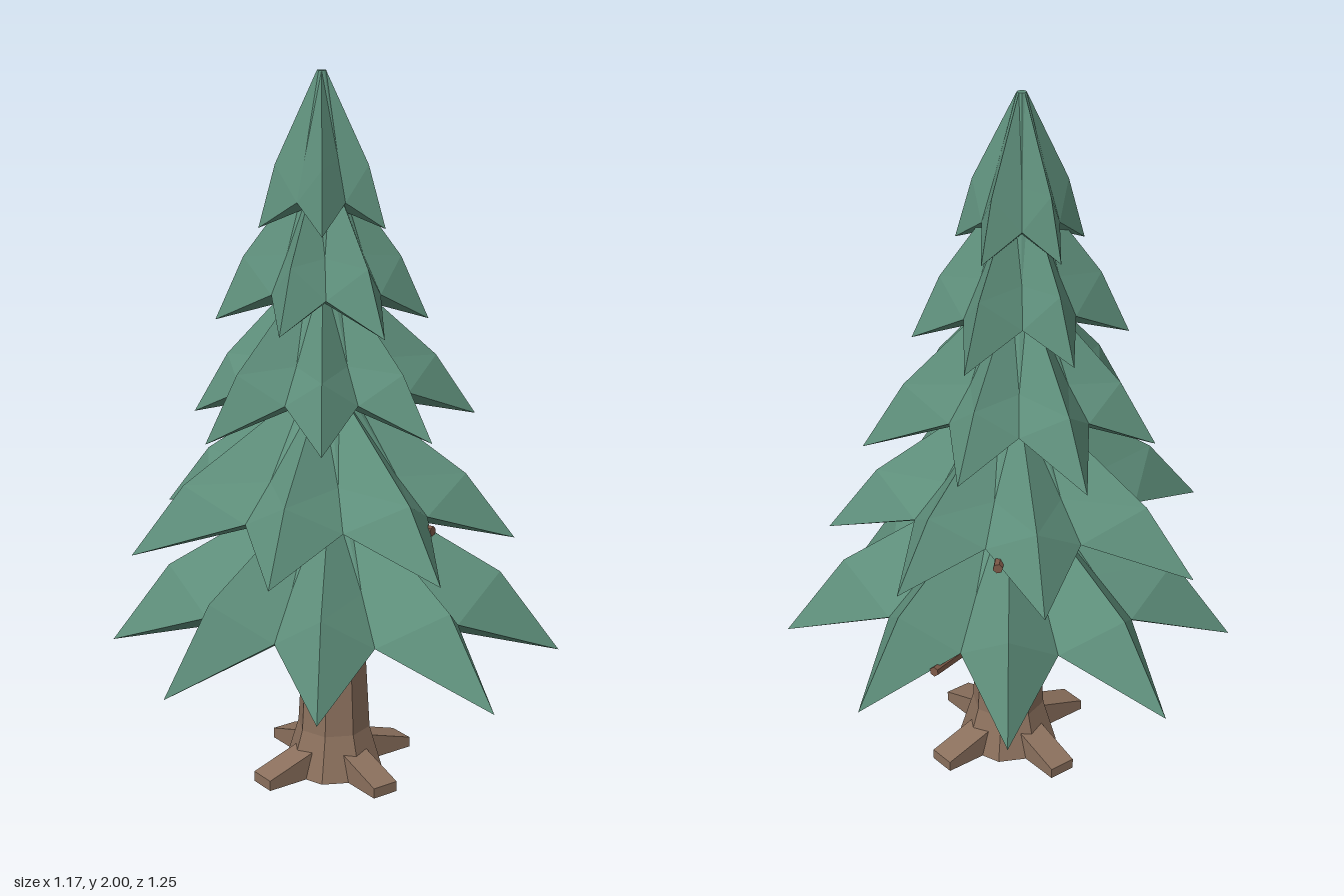
import * as THREE from 'three';

const mat = (name, color) => {
  const m = new THREE.MeshStandardMaterial({ color });
  m.name = name;
  return m;
};

// Skin a stack of equal-length rings (top to bottom), flat shaded
function skinRings(rings) {
  const pos = [];
  const tri = (a, b, c) => pos.push(...a, ...b, ...c);
  for (let k = 0; k < rings.length - 1; k++) {
    const a = rings[k], b = rings[k + 1], n = a.length;
    for (let i = 0; i < n; i++) {
      const j = (i + 1) % n;
      // alternate the diagonal so each bough is symmetric about its ridge
      if (i % 2 === 0) {
        tri(a[i], b[j], b[i]);
        tri(a[i], a[j], b[j]);
      } else {
        tri(a[i], a[j], b[i]);
        tri(a[j], b[j], b[i]);
      }
    }
  }
  const g = new THREE.BufferGeometry();
  g.setAttribute('position', new THREE.Float32BufferAttribute(pos, 3));
  g.computeVertexNormals();
  return g;
}

// Star-shaped layer of boughs: ridges run to the tips, valleys to the notches
function tierGeometry({ cz, tips, yTip, yNotch, yMid, yTop, topR }) {
  const dirs = [];
  tips.forEach(([x, z], i) => {
    const [x2, z2] = tips[(i + 1) % tips.length];
    const r = Math.hypot(x, z - cz), r2 = Math.hypot(x2, z2 - cz);
    const mx = x / r + x2 / r2, mz = (z - cz) / r + (z2 - cz) / r2;
    const m = Math.hypot(mx, mz), notch = 0.6 * (r + r2) / 2;
    dirs.push([x, z - cz], [mx / m * notch, mz / m * notch]);
  });
  const ring = (fRidge, fValley, yRidge, yValley) => dirs.map(([x, z], i) => {
    const f = i % 2 ? fValley : fRidge;
    return [x * f, i % 2 ? yValley : yRidge, cz + z * f];
  });
  const cap = dirs.map(([x, z]) => {
    const r = Math.hypot(x, z);
    return [x / r * topR, yTop, cz + z / r * topR];
  });
  return skinRings([
    ring(0, 0, yTop, yTop),
    cap,
    ring(0.735, 0.7, yMid, yMid + 0.015),
    ring(1, 1, yTip, yNotch),
    ring(0.4, 0.6, yNotch - 0.025, yNotch - 0.02),
    ring(0, 0, yNotch - 0.035, yNotch - 0.035),
  ]);
}

const TIERS = [
  { cz: -0.01, yTip: 0.37, yNotch: 0.5, yMid: 0.605, yTop: 0.86, topR: 0.06,
    tips: [[0.587, -0.08], [0.51, 0.39], [0.07, 0.627], [-0.353, 0.412],
      [-0.588, 0.033], [-0.48, -0.423], [-0.05, -0.625], [0.374, -0.468]] },
  { cz: -0.03, yTip: 0.71, yNotch: 0.81, yMid: 0.895, yTop: 1.14, topR: 0.06,
    tips: [[0.468, -0.11], [0.398, 0.315], [-0.02, 0.505], [-0.4, 0.262],
      [-0.548, -0.185], [-0.21, -0.543], [0.232, -0.447]] },
  { cz: -0.05, yTip: 1.035, yNotch: 1.13, yMid: 1.21, yTop: 1.46, topR: 0.05,
    tips: [[0.092, -0.445], [0.328, -0.2], [0.39, 0.142], [0.1, 0.312],
      [-0.215, 0.242], [-0.395, -0.04], [-0.24, -0.34]] },
  { cz: -0.05, yTip: 1.325, yNotch: 1.41, yMid: 1.5, yTop: 1.74, topR: 0.04,
    tips: [[0.02, -0.3], [0.272, -0.16], [0.237, 0.117], [-0.015, 0.25],
      [-0.225, 0.065], [-0.245, -0.215]] },
  { cz: -0.055, yTip: 1.585, yNotch: 1.66, yMid: 1.755, yTop: 2, topR: 0.013,
    tips: [[0.005, -0.225], [0.172, -0.105], [0.1, 0.1], [-0.11, 0.1],
      [-0.167, -0.115]] },
];

// Twig height at the trunk, then its end: x, y, z
const TWIGS = [
  [0.42, 0.39, 0.465, -0.165], [0.43, -0.11, 0.465, 0.28], [0.43, -0.22, 0.455, -0.14],
  [0.78, 0.25, 0.79, -0.27], [0.78, 0.1, 0.79, 0.32], [0.78, -0.31, 0.79, -0.07],
];

export function createModel() {
  const tree = new THREE.Group();
  tree.name = 'pineTree';
  const needles = mat('needleGreen', 0x5f907c);
  const bark = mat('barkBrown', 0x8b705d);
  const twigMat = mat('twigBrown', 0x7a5746);
  const add = (name, geo, material) => {
    const mesh = new THREE.Mesh(geo, material);
    mesh.name = name;
    tree.add(mesh);
    return mesh;
  };

  // Boughs
  TIERS.forEach((t, i) => add(`boughTier${i + 1}`, tierGeometry(t), needles));

  // Eight-sided trunk, flared at the foot
  const trunkRing = (r, y) => Array.from({ length: 8 }, (_, i) => {
    const a = (i + 0.1) * Math.PI / 4;
    return [0.008 + r * Math.cos(a), y, -0.01 + r * Math.sin(a)];
  });
  add('trunk', skinRings([
    trunkRing(0, 0.82), trunkRing(0.07, 0.82), trunkRing(0.088, 0.45),
    trunkRing(0.106, 0.13), trunkRing(0.145, 0), trunkRing(0, 0),
  ]), bark);

  // Four tapering roots
  for (let i = 0; i < 4; i++) {
    const g = new THREE.BoxGeometry(0.17, 0.07, 0.08).translate(0.165, 0.035, 0);
    const p = g.attributes.position;
    for (let k = 0; k < p.count; k++) {
      if (p.getY(k) > 0.01) p.setY(k, p.getX(k) < 0.16 ? 0.085 : 0.03);
    }
    const flat = g.toNonIndexed();
    flat.computeVertexNormals();
    const root = add(`root${i + 1}`, flat, bark);
    root.position.set(0.006, 0, -0.01);
    root.rotation.y = i * Math.PI / 2;
  }

  // Bare twigs poking out between the boughs
  TWIGS.forEach(([y0, x, y, z], i) => {
    const end = new THREE.Vector3(x, y, z);
    const start = new THREE.Vector3(0, y0, -0.02);
    const dir = end.clone().sub(start);
    const g = new THREE.CylinderGeometry(0.014, 0.019, dir.length(), 6).toNonIndexed();
    g.computeVertexNormals();
    const twig = add(`twig${i + 1}`, g, twigMat);
    twig.position.copy(start).addScaledVector(dir, 0.5);
    twig.quaternion.setFromUnitVectors(new THREE.Vector3(0, 1, 0), dir.normalize());
  });

  return tree;
}
